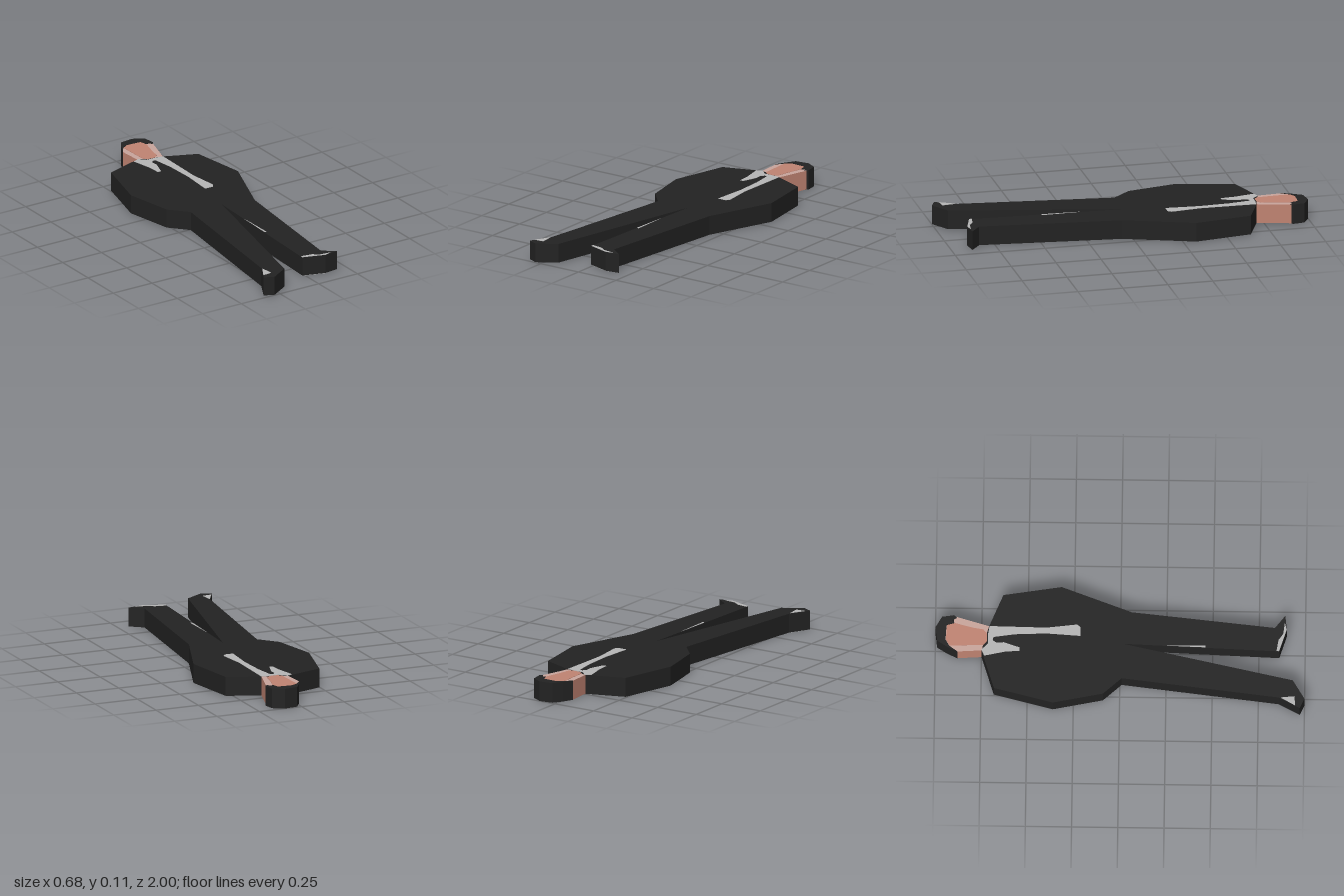
import * as THREE from 'three';

const HEIGHT = 0.11;
const LIP = 0.002; // how far painted plates stand proud of the slab

const mat = (name, color) => {
  const m = new THREE.MeshStandardMaterial({ color });
  m.name = name;
  return m;
};

// Extrudes an outline of [x, z] points upwards between two heights.
function slab(name, points, y0, y1, material) {
  const shape = new THREE.Shape(points.map(([x, z]) => new THREE.Vector2(x, -z)));
  const geo = new THREE.ExtrudeGeometry(shape, { depth: y1 - y0, bevelEnabled: false });
  geo.rotateX(-Math.PI / 2);
  geo.translate(0, y0, 0);
  const mesh = new THREE.Mesh(geo, material);
  mesh.name = name;
  return mesh;
}

export function createModel() {
  const suitMat = mat('charcoal', 0x222222);
  const skinMat = mat('skin', 0xc08372);
  const paleMat = mat('pale skin', 0xc9a59c);
  const shirtMat = mat('light grey', 0xb6b6b6);

  const group = new THREE.Group();
  group.name = 'flatStandingFigure';
  const core = (name, pts, m) => group.add(slab(name, pts, LIP, HEIGHT - LIP, m));
  // The same thin plate on the upper and the lower face
  const plates = (name, pts, m) => {
    group.add(slab(name + 'Upper', pts, HEIGHT - 2 * LIP, HEIGHT, m));
    group.add(slab(name + 'Lower', pts, 0, 2 * LIP, m));
  };

  // Suit: jacket, trousers and shoes in one silhouette
  core('suit', [
    [-0.03, -0.75], [0.11, -0.71], [0.29, -0.635], [0.34, -0.32], [0.2, 0.06],
    [0.12, 0.835], [0.19, 0.89], [0.11, 0.9], [-0.015, 0.86], [0.018, 0.015],
    [-0.18, 0.935], [-0.285, 1.0], [-0.34, 0.975], [-0.28, 0.86], [-0.18, 0.01],
    [-0.27, -0.09], [-0.325, -0.36], [-0.245, -0.68],
  ], suitMat);

  // Head: pale faces with darker skin around the rim
  core('head', [
    [-0.03, -0.75], [-0.038, -0.88], [-0.012, -0.93], [0.03, -0.947], [0.11, -0.94],
    [0.125, -0.9], [0.165, -0.9], [0.11, -0.71],
  ], [paleMat, skinMat]);

  // Hair cap
  const hair = [
    [-0.038, -0.88], [-0.012, -0.935], [0.022, -0.99], [0.1, -1.0], [0.16, -0.965],
    [0.17, -0.9], [0.155, -0.885], [0.14, -0.91], [0.125, -0.895], [0.115, -0.94],
    [0.03, -0.945], [-0.005, -0.925],
  ];
  group.add(slab('hair', hair, 0, HEIGHT, suitMat));

  // Face
  plates('face', [
    [-0.005, -0.922], [0.03, -0.943], [0.113, -0.938], [0.125, -0.895], [0.1, -0.8],
    [0.09, -0.74], [0.065, -0.72], [0.02, -0.722], [0.002, -0.74],
  ], skinMat);

  // Shirt front and collar, leaving the dark tie between them
  plates('shirtRight', [
    [-0.06, -0.735], [-0.025, -0.75], [0.01, -0.715], [0.03, -0.69], [0.015, -0.67],
    [0.018, -0.63], [-0.01, -0.545], [-0.03, -0.545], [-0.035, -0.62],
  ], shirtMat);
  plates('shirtLeft', [
    [0.03, -0.69], [0.01, -0.715], [0.065, -0.715], [0.11, -0.708], [0.105, -0.4],
    [0.125, -0.235], [0.11, -0.215], [0.06, -0.215], [0.072, -0.4], [0.065, -0.57],
    [0.048, -0.685],
  ], shirtMat);

  // Light patches on the shoes and along the inner trouser leg
  plates('shoePatchRight', [[-0.28, 0.87], [-0.272, 0.945], [-0.325, 0.95]], shirtMat);
  plates('shoePatchLeft', [
    [-0.013, 0.845], [0.05, 0.855], [0.085, 0.88], [0.15, 0.888], [0.11, 0.899], [-0.014, 0.859],
  ], shirtMat);
  plates('legSliver', [[0.01, 0.25], [0.014, 0.46], [0.003, 0.46]], shirtMat);

  return group;
}
